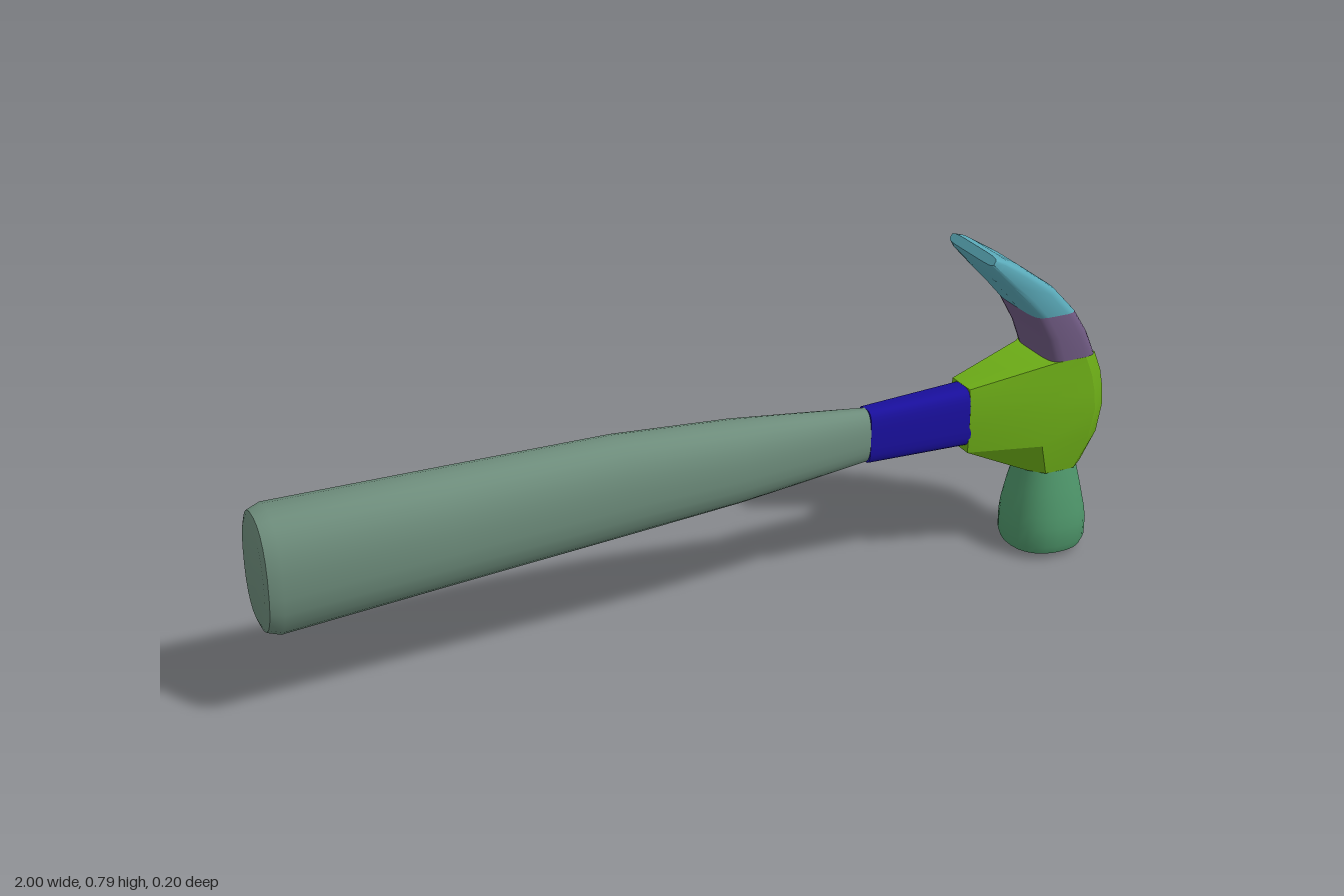
import * as THREE from 'three';
import { toCreasedNormals } from 'three/addons/utils/BufferGeometryUtils.js';

// Rounded cross-section spanning from point a to point b (in xy) and +-hz in depth.
// A higher power gives a boxier section.
function ring(ax, ay, bx, by, hz, power = 2, zc = 0, n = 24) {
  const points = [];
  const bend = (t) => Math.sign(t) * Math.pow(Math.abs(t), 2 / power);
  for (let i = 0; i < n; i++) {
    const t = ((i + 0.5) / n) * Math.PI * 2;
    const u = bend(Math.cos(t));
    points.push(new THREE.Vector3(
      (ax + bx) / 2 + (u * (ax - bx)) / 2,
      (ay + by) / 2 + (u * (ay - by)) / 2,
      zc + bend(Math.sin(t)) * hz
    ));
  }
  return points;
}

// Skin a list of rings, close both ends, and turn all faces outward.
function loft(rings, crease) {
  const tris = [];
  const n = rings[0].length;
  for (let r = 0; r < rings.length - 1; r++) {
    for (let i = 0; i < n; i++) {
      const j = (i + 1) % n;
      const [a, b, c, d] = [rings[r][i], rings[r][j], rings[r + 1][j], rings[r + 1][i]];
      tris.push([a, b, c], [a, c, d]);
    }
  }
  const cap = (pts, flip) => {
    const mid = new THREE.Vector3();
    pts.forEach((p) => mid.addScaledVector(p, 1 / n));
    for (let i = 0; i < n; i++) {
      const j = (i + 1) % n;
      tris.push(flip ? [mid, pts[j], pts[i]] : [mid, pts[i], pts[j]]);
    }
  };
  cap(rings[0], true);
  cap(rings[rings.length - 1], false);
  let volume = 0;
  const cross = new THREE.Vector3();
  for (const [a, b, c] of tris) volume += a.dot(cross.crossVectors(b, c));
  if (volume < 0) tris.forEach((t) => t.reverse());
  const geometry = new THREE.BufferGeometry().setFromPoints(tris.flat());
  return toCreasedNormals(geometry, crease);
}

export function createModel() {
  const group = new THREE.Group();
  const add = (name, color, rings, crease = 0.6) => {
    const material = new THREE.MeshStandardMaterial({ color });
    const mesh = new THREE.Mesh(loft(rings, crease), material);
    mesh.name = name;
    group.add(mesh);
  };

  // Sections along the shaft: x, top, bottom, half depth
  const along = (power) => ([x, top, bottom, hz]) => ring(x, top, x, bottom, hz, power, 0.004);
  add('handleGrip', 0x6d8c7b, [
    [-1, 0.47, 0.245, 0.075],
    [-0.994, 0.489, 0.228, 0.088],
    [-0.965, 0.5, 0.218, 0.097],
    [-0.6, 0.5, 0.243, 0.086],
    [-0.2, 0.499, 0.269, 0.075],
    [0.08, 0.48, 0.289, 0.068],
    [0.25, 0.463, 0.304, 0.05],
    [0.405, 0.447, 0.318, 0.031],
  ].map(along(2.4)));
  add('handleNeck', 0x190f9c, [
    [0.405, 0.447, 0.318, 0.031],
    [0.66, 0.458, 0.314, 0.041],
  ].map(along(4)));

  // Head levels: y, left x, left half depth, cheek x, cheek half depth, right x, right half depth
  add('headBody', 0x6cac17, [
    [0.219, 0.825, 0.035, 0.855, 0.068, 0.966, 0.04],
    [0.3, 0.657, 0.038, 0.83, 0.083, 0.99, 0.062],
    [0.37, 0.655, 0.045, 0.83, 0.088, 1, 0.065],
    [0.42, 0.655, 0.045, 0.83, 0.086, 0.995, 0.065],
    [0.458, 0.655, 0.038, 0.83, 0.084, 0.987, 0.065],
    [0.505, 0.842, 0.07, 0.855, 0.083, 0.968, 0.065],
  ].map(([y, xl, zl, xm, zm, xr, zr]) => {
    const side = [[xl, zl], [xm, zm], [xr - 0.035, zm], [xr, zr]];
    const mirrored = side.map(([x, z]) => [x, -z]).reverse();
    return [...side, ...mirrored].map(([x, z]) => new THREE.Vector3(x, y, z));
  }), 0.4);

  // Striking face levels: y, left x, right x, half depth
  add('strikingFace', 0x4d9469, [
    [0.219, 0.825, 0.966, 0.069],
    [0.17, 0.814, 0.977, 0.083],
    [0.11, 0.803, 0.99, 0.096],
    [0.08, 0.8, 0.995, 0.099],
    [0.035, 0.8, 0.995, 0.099],
    [0.015, 0.807, 0.988, 0.09],
    [0.002, 0.83, 0.965, 0.066],
    [0, 0.86, 0.935, 0.035],
  ].map(([y, xl, xr, hz]) => ring(xr, y, xl, y, hz, 2.3)));

  // Claw sections: outer x and y, inner x and y, half depth
  const claw = (s) => ring(...s, 5);
  add('clawRoot', 0x6f5a82, [
    [0.968, 0.505, 0.842, 0.505, 0.083],
    [0.94, 0.565, 0.822, 0.562, 0.088],
    [0.9, 0.625, 0.787, 0.625, 0.092],
  ].map(claw));
  add('clawTip', 0x5aa9b8, [
    [0.9, 0.625, 0.787, 0.625, 0.092],
    [0.84, 0.688, 0.752, 0.665, 0.096],
    [0.76, 0.745, 0.712, 0.708, 0.1],
    [0.697, 0.783, 0.67, 0.755, 0.102],
    [0.672, 0.791, 0.66, 0.772, 0.094],
  ].map(claw));

  return group;
}
